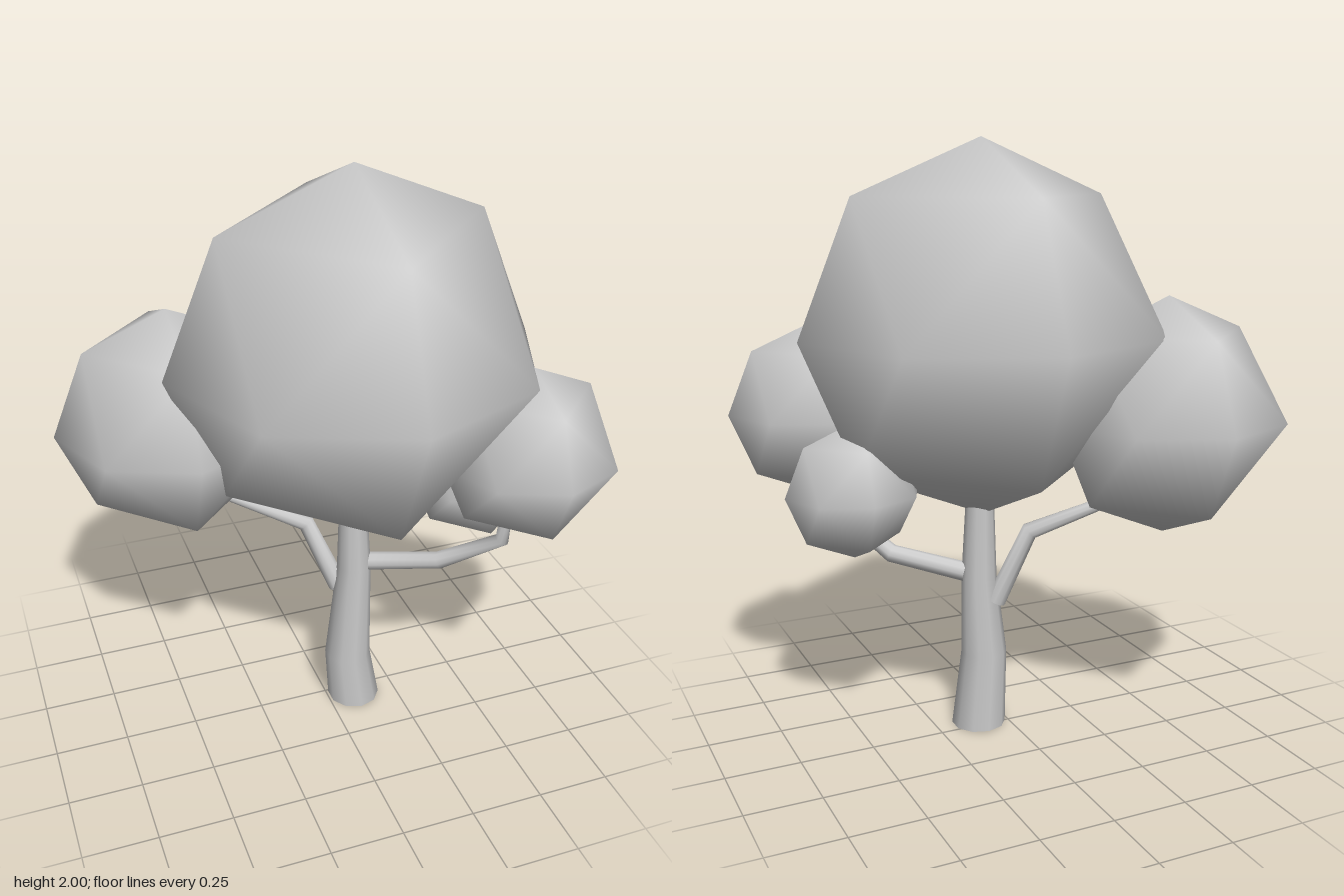
import * as THREE from 'three';

const material = new THREE.MeshStandardMaterial({ color: 0xcccccc });
const UP = new THREE.Vector3(0, 1, 0);

// Tapered bent limb through [x, y, z, radius] stations; upright keeps every ring level
function limb(name, stations, upright = false) {
  const last = stations.length - 1;
  const points = stations.map(([x, y, z]) => new THREE.Vector3(x, y, z));
  const turns = points.map((p, i) => {
    const before = i > 0 ? p.clone().sub(points[i - 1]).normalize() : new THREE.Vector3();
    const after = i < last ? points[i + 1].clone().sub(p).normalize() : new THREE.Vector3();
    const tangent = upright ? UP : before.add(after).normalize();
    return new THREE.Quaternion().setFromUnitVectors(UP, tangent);
  });

  const geometry = new THREE.CylinderGeometry(1, 1, 1, 10, last);
  const { position, normal } = geometry.attributes;
  const v = new THREE.Vector3();
  for (let i = 0; i < position.count; i++) {
    v.fromBufferAttribute(position, i);
    const row = Math.round((v.y + 0.5) * last);
    v.setY(0).multiplyScalar(stations[row][3]).applyQuaternion(turns[row]).add(points[row]);
    position.setXYZ(i, v.x, v.y, v.z);
    v.fromBufferAttribute(normal, i).applyQuaternion(turns[row]);
    normal.setXYZ(i, v.x, v.y, v.z);
  }
  const mesh = new THREE.Mesh(geometry, material);
  mesh.name = name;
  return mesh;
}

// Faceted ball of leaves with smooth shading
function foliage(name, radius, x, y, z) {
  const mesh = new THREE.Mesh(new THREE.OctahedronGeometry(radius, 1), material);
  mesh.name = name;
  mesh.position.set(x, y, z);
  return mesh;
}

export function createModel() {
  const tree = new THREE.Group();
  tree.name = 'tree';

  // Crooked trunk and its two branches
  tree.add(
    limb('trunk', [
      [0.098, 0, 0.035, 0.093],
      [0.055, 0.24, 0.083, 0.08],
      [0.107, 0.55, 0.003, 0.06],
      [0.09, 0.84, 0.03, 0.047],
    ], true),
    limb('leftBranch', [
      [0.15, 0.565, 0.02, 0.033],
      [0.36, 0.615, 0.17, 0.031],
      [0.51, 0.765, 0.33, 0.025],
      [0.515, 0.86, 0.335, 0.02],
    ]),
    limb('rightBranch', [
      [0.055, 0.46, -0.02, 0.035],
      [-0.045, 0.71, -0.075, 0.031],
      [-0.285, 0.81, -0.175, 0.02],
    ]),
  );

  // Crown and side clumps
  tree.add(
    foliage('crown', 0.62, 0.08, 1.38, 0.03),
    foliage('rightFoliage', 0.397, -0.456, 1.104, -0.255),
    foliage('leftFoliage', 0.295, 0.558, 1.105, 0.355),
    foliage('smallFoliage', 0.225, 0.525, 0.88, 0.065),
  );
  return tree;
}
